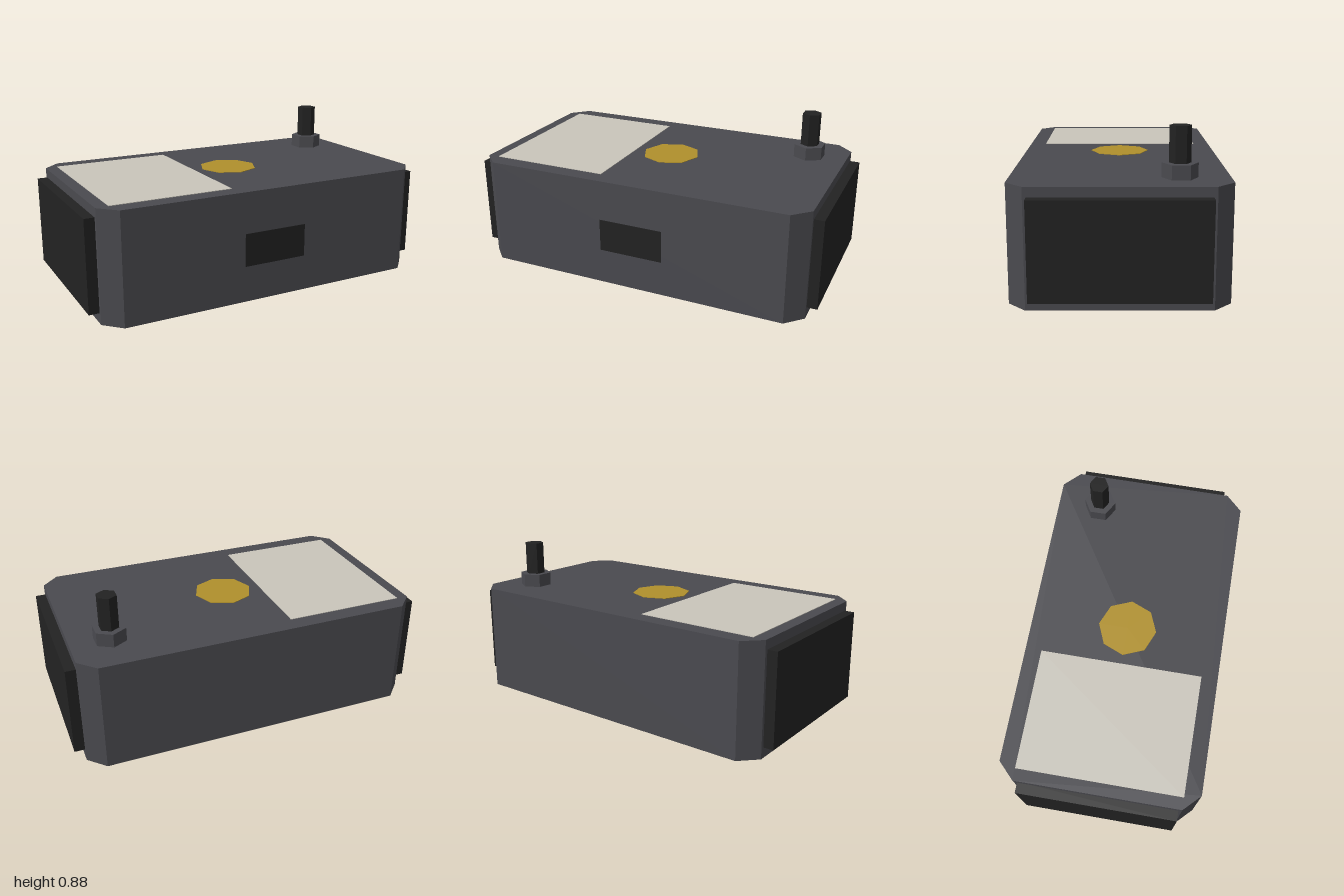
import * as THREE from 'three';

const material = (name, color) => {
  const m = new THREE.MeshStandardMaterial({ color });
  m.name = name;
  return m;
};

export function createModel() {
  const model = new THREE.Group();
  model.name = 'deviceBox';
  const casing = material('casing grey', 0x4a4a4f);
  const dark = material('dark plastic', 0x222222);
  const paper = material('label cream', 0xc9c5bb);
  const gold = material('gold', 0xb0902c);

  const add = (name, geometry, mat, x, y, z) => {
    const mesh = new THREE.Mesh(geometry, mat);
    mesh.name = name;
    mesh.position.set(x, y, z);
    model.add(mesh);
    return mesh;
  };
  const box = (name, mat, w, h, d, x, y, z) =>
    add(name, new THREE.BoxGeometry(w, h, d), mat, x, y, z);
  const prism = (name, mat, r, h, sides, x, y, z) =>
    add(name, new THREE.CylinderGeometry(r, r, h, sides).toNonIndexed(), mat, x, y, z)
      .geometry.computeVertexNormals();

  // Casing with chamfered vertical corners
  const X = 0.945, Z = 0.54, C = 0.09;
  const outline = new THREE.Shape([
    [X, C - Z], [X, Z - C], [X - C, Z], [C - X, Z],
    [-X, Z - C], [-X, C - Z], [C - X, -Z], [X - C, -Z],
  ].map(([x, y]) => new THREE.Vector2(x, y)));
  const body = new THREE.ExtrudeGeometry(outline, { depth: 0.602, bevelEnabled: false });
  body.rotateX(-Math.PI / 2);
  add('casing', body, casing, 0, 0.028, 0);

  // End panels and feet
  for (const sx of [-1, 1]) {
    box('endPanel', dark, 0.06, 0.495, 0.865, sx * 0.97, 0.332, 0);
    for (const sz of [-1, 1]) {
      box('foot', dark, 0.18, 0.03, 0.18, sx * 0.72, 0.015, sz * 0.36);
    }
  }

  // Flat details on the top, front and underside
  box('topLabel', paper, 0.665, 0.006, 0.9, -0.547, 0.63, 0);
  prism('goldBadge', gold, 0.163, 0.006, 8, 0, 0.63, 0);
  box('frontWindow', dark, 0.363, 0.18, 0.006, 0, 0.316, 0.54);
  box('underLabel', paper, 1.5, 0.006, 0.8, 0, 0.028, 0);

  // Hexagonal nut and post
  prism('nut', casing, 0.09, 0.073, 6, 0.735, 0.6665, -0.29);
  prism('post', dark, 0.054, 0.184, 6, 0.735, 0.793, -0.29);

  return model;
}
